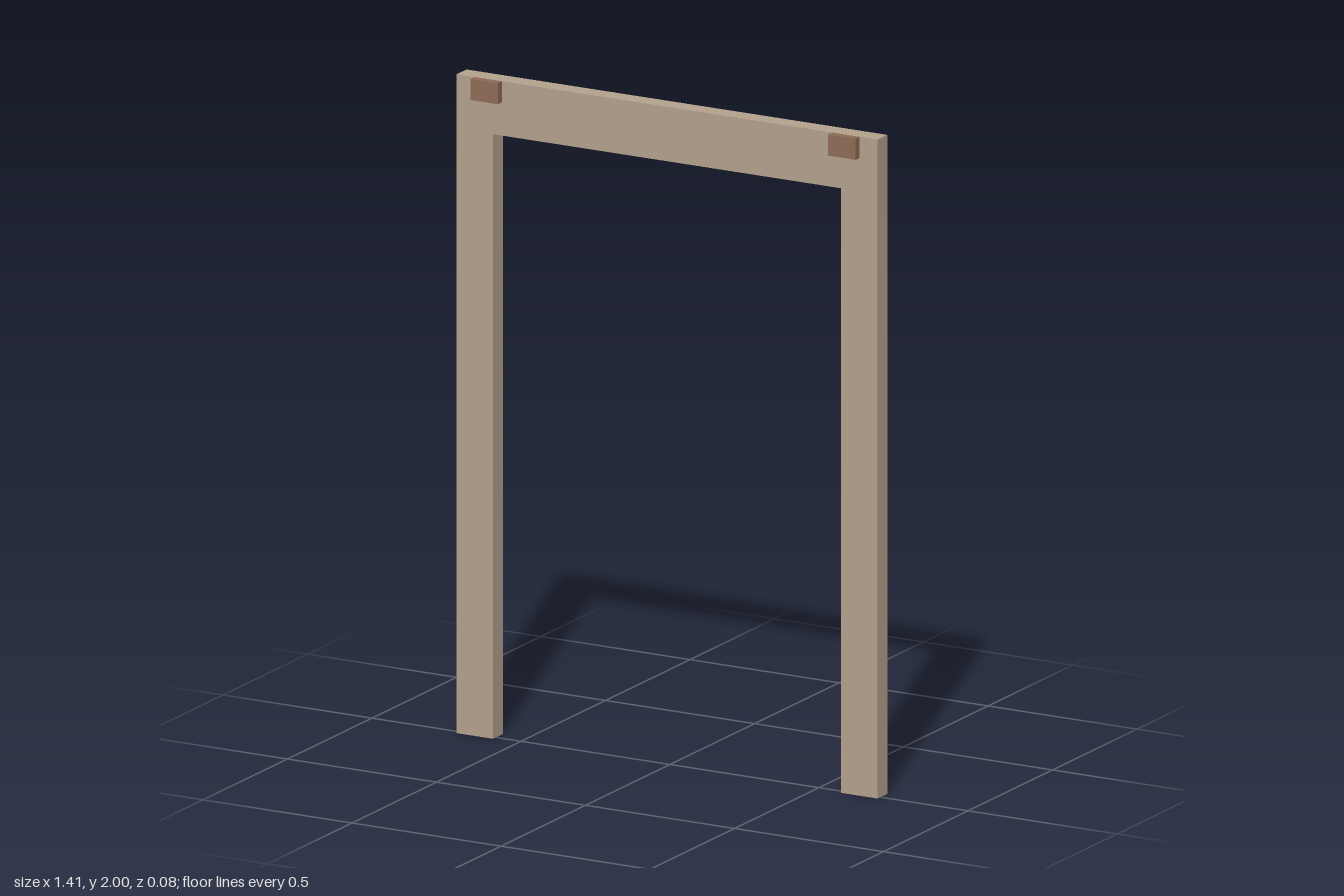
import * as THREE from 'three';

export function createModel() {
  const model = new THREE.Group();
  model.name = 'doorFrame';

  const paleWood = new THREE.MeshStandardMaterial({ color: 0xb3a28d });
  paleWood.name = 'paleWood';
  const brownWood = new THREE.MeshStandardMaterial({ color: 0x8f6c56 });
  brownWood.name = 'brownWood';

  const halfWidth = 0.706, innerHalf = 0.584, height = 2, beamBottom = 1.835;
  const back = -0.041, face = 0.017, front = 0.041;

  // Two posts and the top beam as one continuous arch
  const outline = new THREE.Shape([
    [-halfWidth, 0], [-innerHalf, 0], [-innerHalf, beamBottom], [innerHalf, beamBottom],
    [innerHalf, 0], [halfWidth, 0], [halfWidth, height], [-halfWidth, height],
  ].map(([x, y]) => new THREE.Vector2(x, y)));
  const frameGeometry = new THREE.ExtrudeGeometry(outline, { depth: face - back, bevelEnabled: false });
  frameGeometry.translate(0, 0, back);
  const frame = new THREE.Mesh(frameGeometry, paleWood);
  frame.name = 'frame';
  model.add(frame);

  // Small blocks on the front of the upper corners
  const blockHeight = 0.064;
  const blockGeometry = new THREE.BoxGeometry(0.092, blockHeight, front - face);
  for (const side of [-1, 1]) {
    const block = new THREE.Mesh(blockGeometry, brownWood);
    block.name = side > 0 ? 'leftBlock' : 'rightBlock';
    block.position.set(side * 0.6, height - blockHeight / 2, (front + face) / 2);
    model.add(block);
  }

  return model;
}
